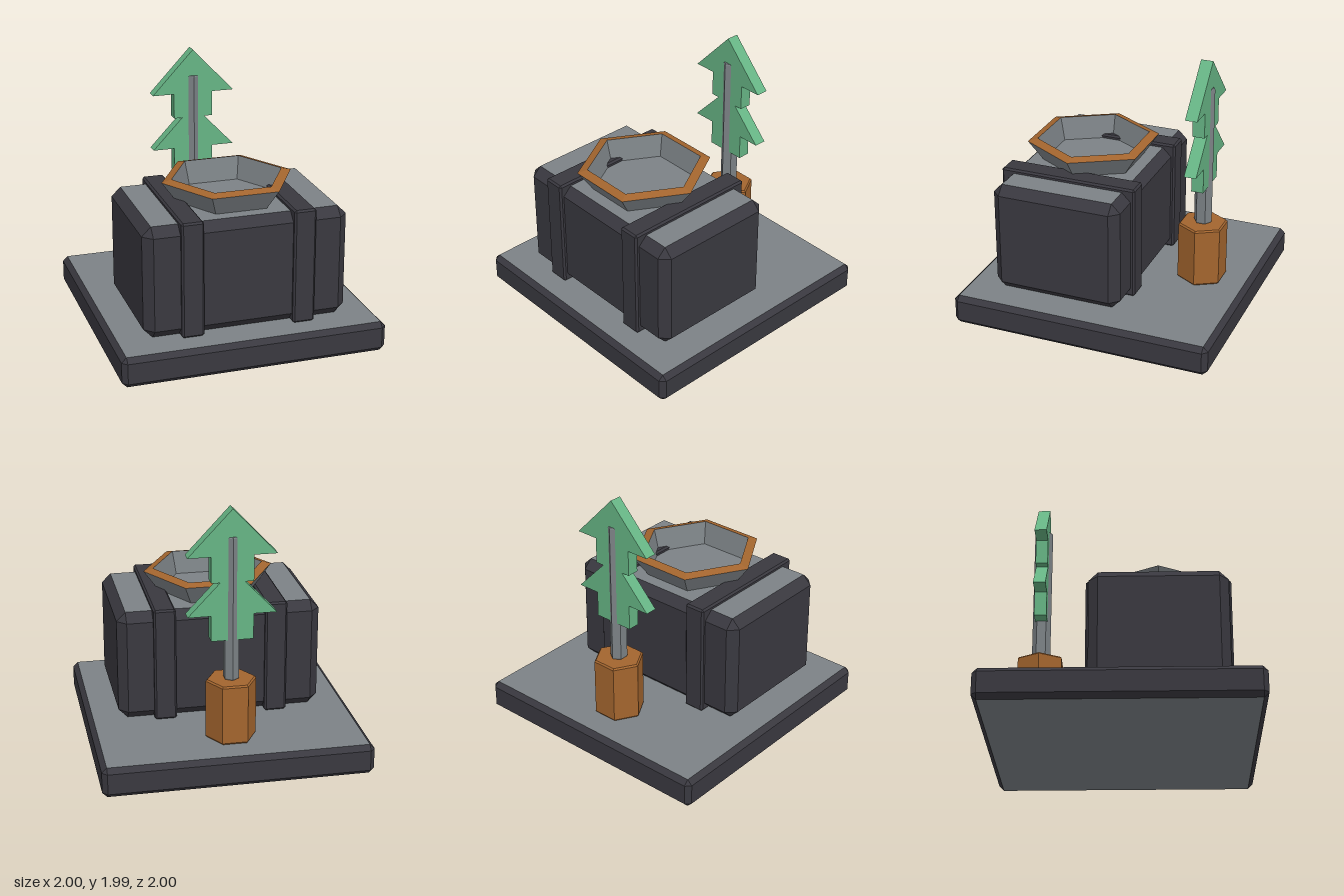
import * as THREE from 'three';
import { ConvexGeometry } from 'three/addons/geometries/ConvexGeometry.js';

const material = (name, color) => new THREE.MeshStandardMaterial({ name, color });

// Box with every edge chamfered by c; group 0 holds the sides, group 1 the top and bottom
function chamferBox(w, h, d, c) {
  const half = [w / 2, h / 2, d / 2];
  const points = [];
  for (const sx of [-1, 1]) for (const sy of [-1, 1]) for (const sz of [-1, 1])
    for (let axis = 0; axis < 3; axis++) {
      const s = [sx, sy, sz];
      points.push(new THREE.Vector3(...half.map((v, i) => s[i] * (i === axis ? v : v - c))));
    }
  const hull = new ConvexGeometry(points);
  const pos = hull.attributes.position.array;
  const norm = hull.attributes.normal.array;
  const sides = [], caps = [];
  for (let i = 0; i < pos.length; i += 9)
    (Math.abs(norm[i + 1]) > 0.99 ? caps : sides).push(...pos.slice(i, i + 9));
  const geo = new THREE.BufferGeometry();
  geo.setAttribute('position', new THREE.Float32BufferAttribute([...sides, ...caps], 3));
  geo.computeVertexNormals();
  geo.addGroup(0, sides.length / 3, 0);
  geo.addGroup(sides.length / 3, caps.length / 3, 1);
  return geo;
}

// Six-sided lathe with flat faces; corners point along z, or along x when phi is a quarter turn
function hexLathe(profile, phi = 0) {
  const points = profile.map(([r, y]) => new THREE.Vector2(r, y));
  const geo = new THREE.LatheGeometry(points, 6, phi).toNonIndexed();
  geo.computeVertexNormals();
  return geo;
}

export function createModel() {
  const model = new THREE.Group();
  model.name = 'treeAndFirePit';

  const dark = material('charcoal', 0x39383f);
  const grey = material('stoneGrey', 0x7c8286);
  const copper = material('copperBrown', 0xa3652e);
  const green = material('leafGreen', 0x66b484);

  const add = (name, geo, mat, x, y, z) => {
    const mesh = new THREE.Mesh(geo, mat);
    mesh.name = name;
    mesh.position.set(x, y, z);
    model.add(mesh);
    return mesh;
  };

  // Base slab and main block with pale top and bottom
  add('base', chamferBox(2, 0.23, 2, 0.037), [dark, grey], 0, 0.115, 0);
  add('block', chamferBox(1.54, 0.85, 1, 0.068), [dark, grey], 0, 0.655, 0.27);

  // Two straps round the block
  for (const side of [-1, 1])
    add(side > 0 ? 'leftStrap' : 'rightStrap',
      chamferBox(0.167, 0.88, 1.06, 0.014), [dark, dark], side * 0.422, 0.67, 0.27);

  // Open hexagonal bowl with a sloping rim
  const q = Math.PI / 2;
  add('bowlOutside', hexLathe([[0.38, 1.07], [0.5, 1.235]], q), grey, 0, 0, 0.27);
  add('bowlRim', hexLathe([[0.5, 1.235], [0.425, 1.255]], q), copper, 0, 0, 0.27);
  add('bowlInside', hexLathe([[0.425, 1.255], [0.378, 1.07]], q), grey, 0, 0, 0.27);

  // Pot and trunk
  add('pot', hexLathe([[0, 0.232], [0.176, 0.232], [0.188, 0.245],
    [0.188, 0.68], [0.176, 0.692], [0, 0.692]], q), copper, 0, 0, -0.617);
  const trunk = add('trunk', hexLathe([[0, 0.68], [0.063, 0.695], [0.069, 0.705],
    [0.069, 1.77], [0.063, 1.778], [0, 1.778]]), grey, 0, 0, -0.615);
  trunk.scale.x = 0.88;

  // Two-tier flat tree: the right half outline is mirrored
  const outline = [[0, 1.985], [0.325, 1.64], [0.155, 1.64], [0.155, 1.445],
    [0.09, 1.445], [0.325, 1.198], [0.155, 1.198], [0.155, 1.005]];
  const mirrored = outline.slice(1).reverse().map(([x, y]) => [-x, y]);
  const shape = new THREE.Shape([...outline, ...mirrored].map(([x, y]) => new THREE.Vector2(x, y)));
  add('foliage', new THREE.ExtrudeGeometry(shape, { depth: 0.092, bevelEnabled: false }),
    green, 0, 0, -0.663);

  return model;
}
